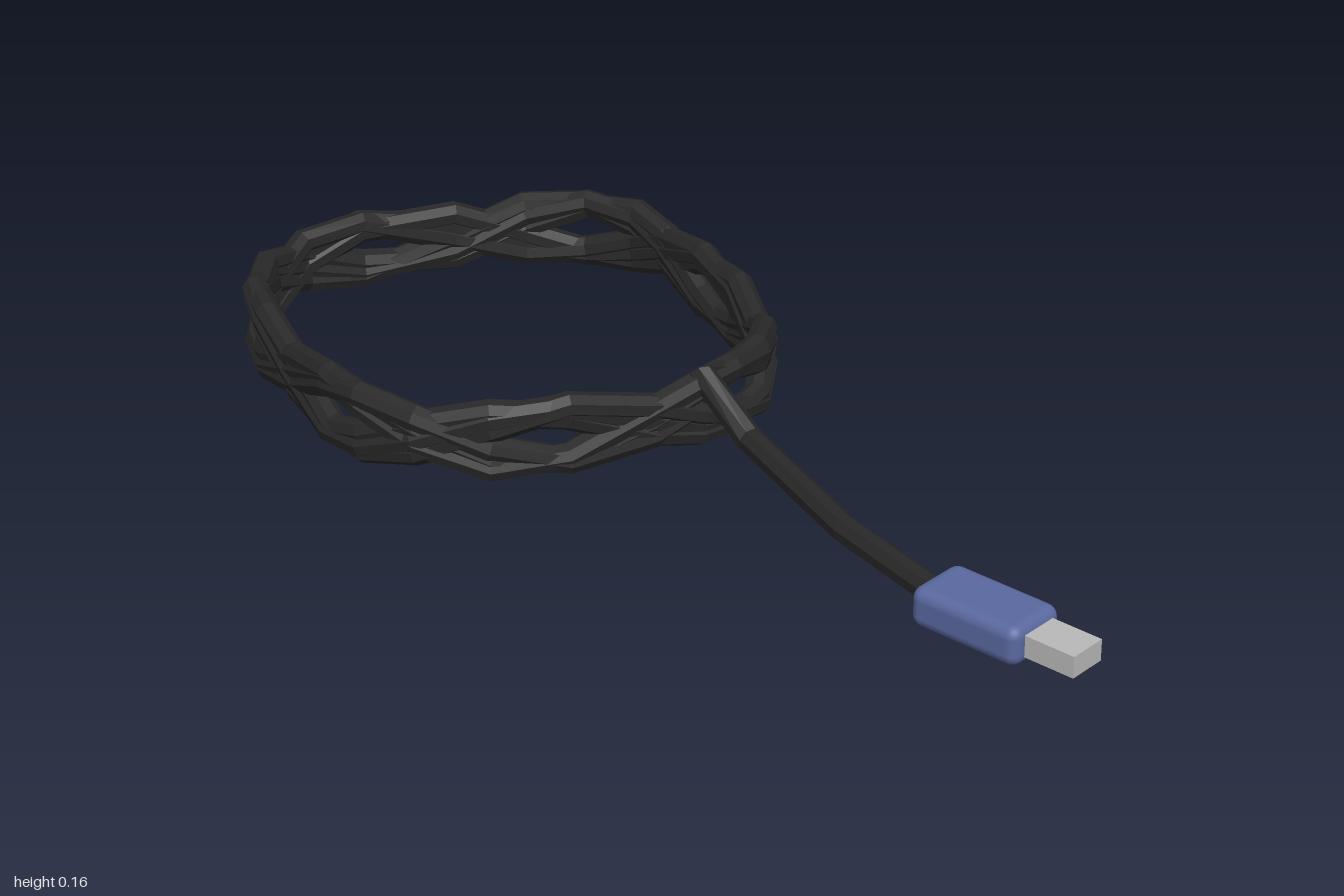
import * as THREE from 'three';
import { RoundedBoxGeometry } from 'three/addons/geometries/RoundedBoxGeometry.js';

// Plan of one turn of the coil: x, z
const plan = [
  [0, 0], [-0.03, 0.09], [-0.1, 0.235], [-0.18, 0.35], [-0.29, 0.425], [-0.4, 0.448], [-0.5, 0.432],
  [-0.64, 0.385], [-0.77, 0.34], [-0.86, 0.285], [-0.935, 0.19], [-0.97, 0.07], [-0.935, -0.05],
  [-0.85, -0.22], [-0.77, -0.34], [-0.675, -0.42], [-0.57, -0.45], [-0.48, -0.438], [-0.34, -0.39],
  [-0.21, -0.34], [-0.075, -0.26], [-0.005, -0.16], [0.008, -0.07],
];

// Straight runs between points, so the cable keeps its kinks
class Polyline extends THREE.Curve {
  constructor(points) { super(); this.points = points; }
  getPoint(t, target = new THREE.Vector3()) {
    const f = THREE.MathUtils.clamp(t, 0, 1) * (this.points.length - 1);
    const i = Math.min(Math.floor(f), this.points.length - 2);
    return target.copy(this.points[i]).lerp(this.points[i + 1], f - i);
  }
  getPointAt(t, target) { return this.getPoint(t, target); }
  getTangentAt(t, target) { return this.getTangent(t, target); }
}

function cablePoints() {
  const points = [], turns = 6, total = turns * plan.length;
  for (let i = 0; i < total; i++) {
    const [x, z] = plan[i % plan.length];
    let angle = Math.atan2(z, x + 0.48);
    if (angle < -0.001) angle += Math.PI * 2;
    angle += Math.floor(i / plan.length) * Math.PI * 2;
    // Turns weave up and down past each other
    const drift = -0.75 * (2 * i / total - 1);
    const y = 0.09 + 0.056 * Math.cos(3.5 * (angle - Math.PI / 2) + drift);
    const side = 1 + 0.006 * Math.sin(angle * 1.3);
    points.push(new THREE.Vector3(-0.48 + (x + 0.48) * side, y, z * side));
  }
  // Free end leading to the plug
  for (const p of [[0.005, 0.153, 0], [0.12, 0.062, 0], [0.44, 0.052, 0.122], [0.72, 0.05, 0.192]]) {
    points.push(new THREE.Vector3(...p));
  }
  return points;
}

export function createModel() {
  const group = new THREE.Group();
  const rubber = new THREE.MeshStandardMaterial({ color: 0x282828, side: THREE.DoubleSide });
  rubber.name = 'black rubber';
  const plastic = new THREE.MeshStandardMaterial({ color: 0x5a689f });
  plastic.name = 'blue plastic';
  const metal = new THREE.MeshStandardMaterial({ color: 0xb8b8b8 });
  metal.name = 'grey metal';

  const add = (name, geometry, material, x = 0, y = 0, z = 0) => {
    const mesh = new THREE.Mesh(geometry, material);
    mesh.name = name;
    mesh.position.set(x, y, z);
    group.add(mesh);
  };

  // Coiled cable and its free end, one faceted tube
  const points = cablePoints();
  const tube = new THREE.TubeGeometry(new Polyline(points), points.length - 1, 0.025, 8).toNonIndexed();
  tube.computeVertexNormals();
  add('coiledCable', tube, rubber);

  // Plug
  add('plugBody', new RoundedBoxGeometry(0.22, 0.074, 0.124, 3, 0.022), plastic, 0.793, 0.055, 0.191);
  add('plugTip', new THREE.BoxGeometry(0.12, 0.04, 0.074), metal, 0.94, 0.056, 0.191);

  return group;
}
